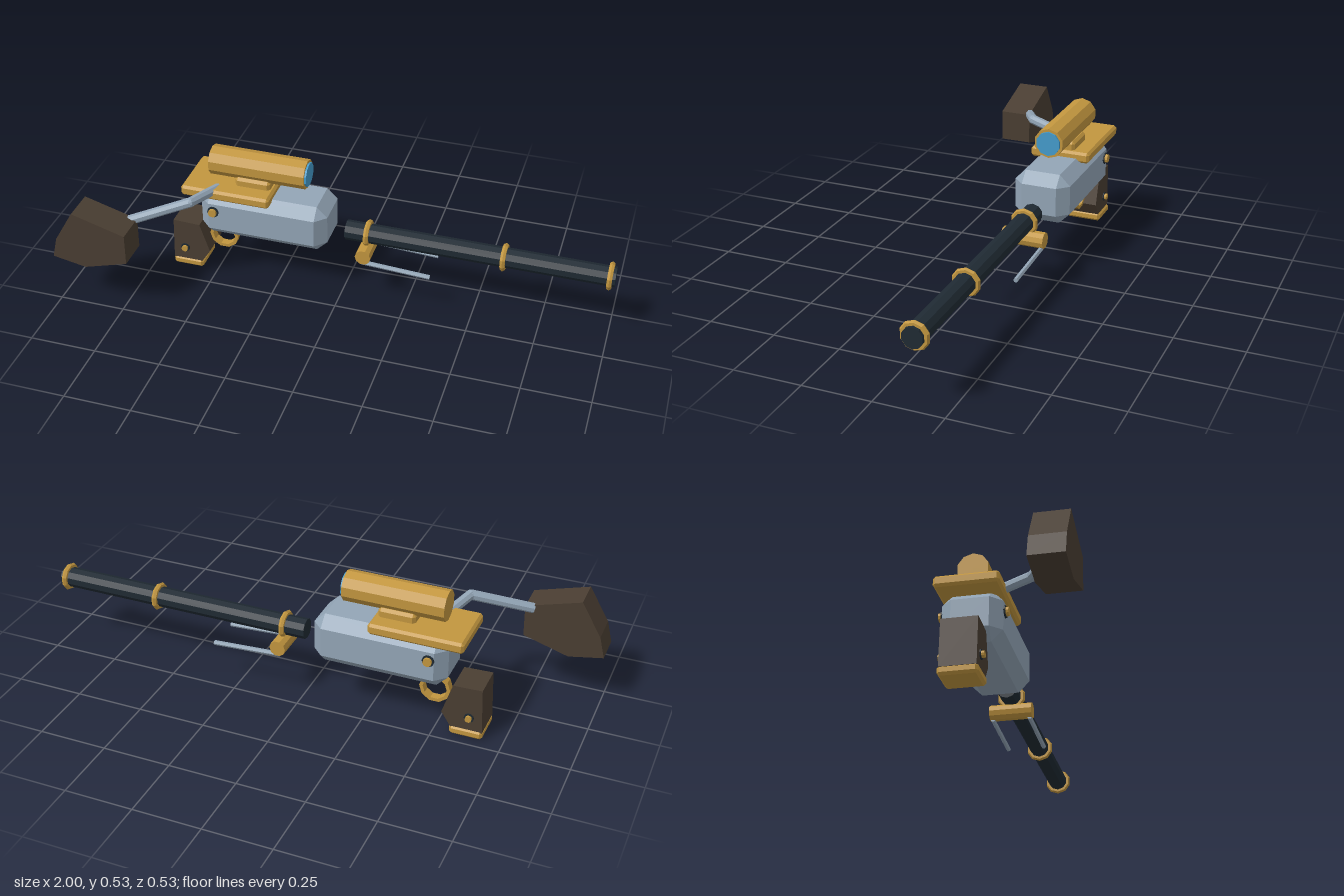
import * as THREE from 'three';
import { ConvexGeometry } from 'three/addons/geometries/ConvexGeometry.js';

const mat = (name, color) => new THREE.MeshStandardMaterial({ name, color, flatShading: true });
const SIDES = 10;
const CZ = -0.145; // centre plane of the gun body

export function createModel() {
  const brass = mat('brass', 0xc2963f);
  const steel = mat('steel', 0x93a5b6);
  const wood = mat('darkWood', 0x4a3e32);
  const gunmetal = mat('gunmetal', 0x1f2a33);
  const glass = mat('blueGlass', 0x459ccc);

  const model = new THREE.Group();
  model.name = 'longGun';

  const add = (name, geometry, material, x = 0, y = 0, z = 0) => {
    const mesh = new THREE.Mesh(geometry, material);
    mesh.name = name;
    mesh.position.set(x, y, z);
    model.add(mesh);
    return mesh;
  };

  // Box with every edge cut at 45 degrees, given by its x, y and z ranges
  const chamferBox = (name, material, [x0, x1], [y0, y1], [z0, z1], c) => {
    const h = [(x1 - x0) / 2, (y1 - y0) / 2, (z1 - z0) / 2];
    const points = [];
    for (const sx of [-1, 1]) for (const sy of [-1, 1]) for (const sz of [-1, 1])
      for (let full = 0; full < 3; full++) {
        const p = [sx, sy, sz].map((s, i) => s * (i === full ? h[i] : h[i] - c));
        points.push(new THREE.Vector3(...p));
      }
    add(name, new ConvexGeometry(points), material, (x0 + x1) / 2, (y0 + y1) / 2, (z0 + z1) / 2);
  };

  // Cylinders lying along x or z
  const cylX = (name, material, x0, x1, y, r) => add(name,
    new THREE.CylinderGeometry(r, r, x1 - x0, SIDES, 1, false, Math.PI / 2).rotateZ(-Math.PI / 2),
    material, (x0 + x1) / 2, y, CZ);
  const cylZ = (name, material, x, y, r, length) => add(name,
    new THREE.CylinderGeometry(r, r, length, SIDES, 1, false, Math.PI / 2).rotateX(Math.PI / 2),
    material, x, y, CZ);

  // Straight bar between two points
  const bar = (name, material, a, b, r, sides) => {
    const from = new THREE.Vector3(...a), to = new THREE.Vector3(...b);
    const mesh = add(name, new THREE.CylinderGeometry(r, r, from.distanceTo(to), sides), material);
    mesh.position.copy(from).lerp(to, 0.5);
    mesh.quaternion.setFromUnitVectors(new THREE.Vector3(0, 1, 0), to.sub(from).normalize());
  };

  // Side outline pulled out along z
  const slab = (name, material, outline, z0, z1) => add(name,
    new THREE.ExtrudeGeometry(new THREE.Shape(outline.map(p => new THREE.Vector2(...p))),
      { depth: z1 - z0, bevelEnabled: false }), material, 0, 0, z0);

  // Receiver and top plate
  chamferBox('receiver', steel, [-0.545, -0.053], [0.19, 0.379], [-0.251, -0.039], 0.04);
  chamferBox('topPlate', brass, [-0.607, -0.265], [0.362, 0.403], [-0.259, -0.031], 0.009);

  // Scope
  chamferBox('scopeMount', brass, [-0.415, -0.28], [0.385, 0.435], [-0.197, -0.094], 0.01);
  cylX('scopeTube', brass, -0.516, -0.147, 0.471, 0.056);
  cylX('scopeLens', glass, -0.148, -0.14, 0.471, 0.046);

  // Barrel and its bands
  cylX('barrel', gunmetal, 0.003, 1, 0.256, 0.0375);
  for (const x of [0.086, 0.597, 0.98]) {
    const band = new THREE.TorusGeometry(0.042, 0.0105, 6, SIDES).rotateZ(Math.PI / 2).rotateY(Math.PI / 2);
    add('barrelBand', band, brass, x, 0.256, CZ);
  }

  // Folded bipod under the barrel
  cylZ('bipodHinge', brass, 0.086, 0.197, 0.03, 0.158);
  for (const side of [-1, 1]) {
    const z = CZ + side * 0.069;
    bar('bipodLeg', steel, [0.08, 0.17, z], [0.34, 0.156, z], 0.009, 6);
  }

  // Grip with its cap
  slab('grip', wood, [[-0.676, 0.03], [-0.562, 0.03], [-0.527, 0.084], [-0.564, 0.2], [-0.669, 0.204]], -0.208, -0.082);
  chamferBox('gripCap', brass, [-0.677, -0.557], [0.002, 0.036], [-0.214, -0.077], 0.009);

  // Trigger guard: flat ring
  const guard = [[0.057, -0.015], [0.057, 0.015], [0.044, 0.015], [0.044, -0.015], [0.057, -0.015]];
  add('triggerGuard', new THREE.LatheGeometry(guard.map(p => new THREE.Vector2(...p)), SIDES)
    .rotateX(Math.PI / 2).rotateZ(Math.PI / 2), brass, -0.484, 0.139, CZ);

  // Pins through the receiver and grip, each with a dark washer
  for (const [x, y, r, length] of [[-0.485, 0.307, 0.016, 0.242], [-0.627, 0.084, 0.012, 0.154]]) {
    cylZ('pin', brass, x, y, r, length);
    cylZ('pinWasher', gunmetal, x, y, r + 0.006, length - 0.02);
  }

  // Bent arm out to the shoulder stock
  const elbow = [-0.53, 0.406, 0.062];
  bar('stockArm', steel, [-0.735, 0.347, 0.155], elbow, 0.0185, 8);
  bar('stockArm', steel, elbow, [-0.478, 0.386, -0.085], 0.0185, 8);
  add('stockElbow', new THREE.SphereGeometry(0.0185, 8, 6), steel, ...elbow);

  slab('shoulderStock', wood, [[-1, 0.208], [-0.874, 0.184], [-0.708, 0.234], [-0.706, 0.354],
    [-0.906, 0.413], [-0.98, 0.288]], 0.147, 0.266);

  return model;
}
